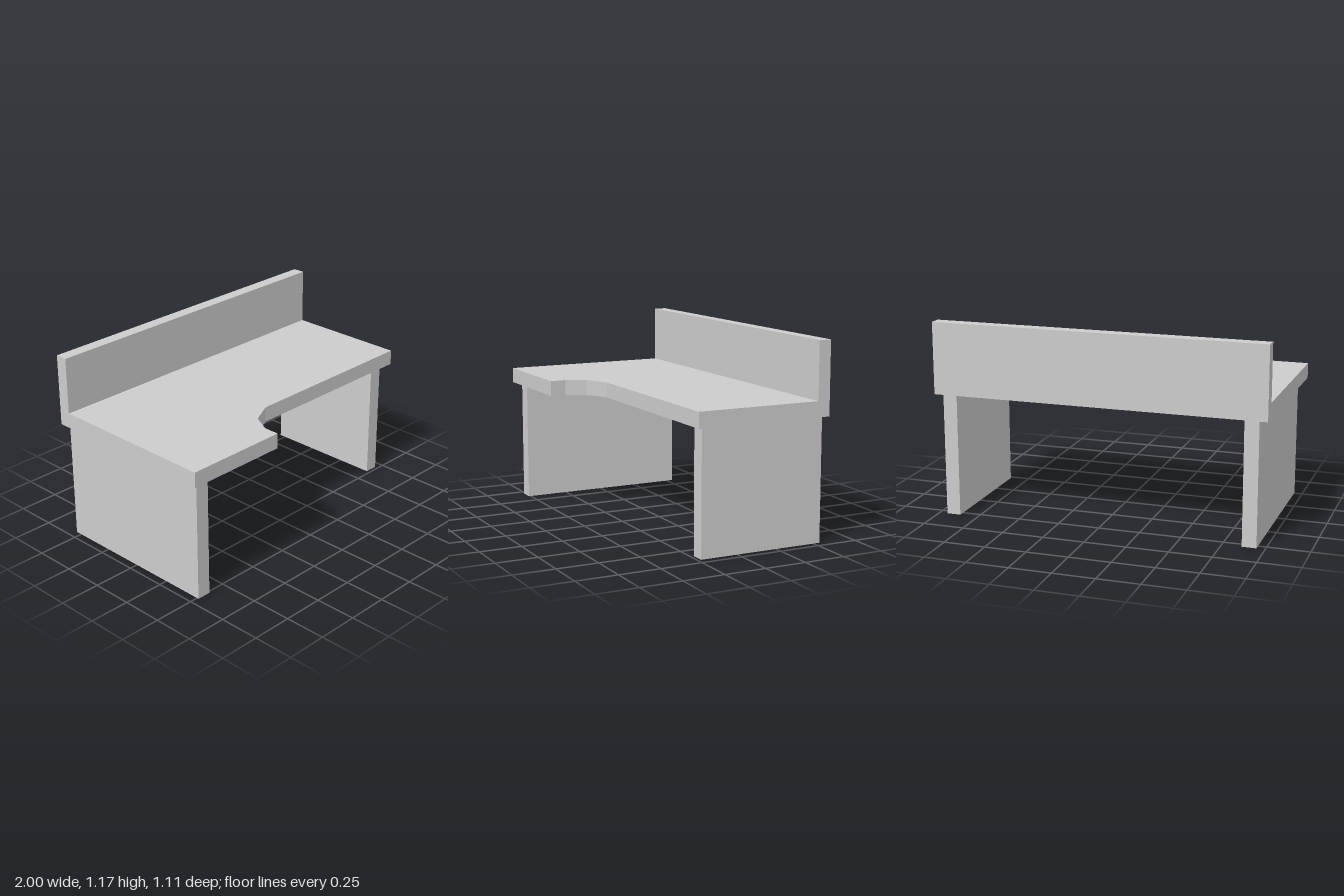
import * as THREE from 'three';

export function createModel() {
  const group = new THREE.Group();
  group.name = 'desk';
  const grey = new THREE.MeshStandardMaterial({ color: 0xcccccc });
  grey.name = 'light grey';

  const add = (name, geometry) => {
    const mesh = new THREE.Mesh(geometry, grey);
    mesh.name = name;
    group.add(mesh);
  };

  // box given by its lower and upper limits on each axis
  const box = (name, [x0, x1], [y0, y1], [z0, z1]) =>
    add(name, new THREE.BoxGeometry(x1 - x0, y1 - y0, z1 - z0)
      .translate((x0 + x1) / 2, (y0 + y1) / 2, (z0 + z1) / 2));

  const under = 0.738, top = 0.83, back = -0.555, panelFront = -0.48;

  // worktop: deeper on the right, with a faceted inner corner (x, z)
  const outline = [
    [-1, panelFront], [1, panelFront], [1, 0.275], [-0.16, 0.275],
    [-0.3, 0.345], [-0.36, 0.46], [-0.36, 0.555], [-1, 0.555],
  ].map(([x, z]) => new THREE.Vector2(x, z));
  add('worktop', new THREE.ExtrudeGeometry(new THREE.Shape(outline), { depth: top - under, bevelEnabled: false })
    .rotateX(Math.PI / 2).translate(0, top, 0));

  // upright panel along the back edge
  box('backPanel', [-1, 1], [under, 1.17], [back, panelFront]);

  // slab legs, the right one longer to carry the deep end
  box('rightLeg', [-0.95, -0.865], [0, under], [-0.54, 0.512]);
  box('leftLeg', [0.865, 0.95], [0, under], [-0.54, 0.228]);

  return group;
}
